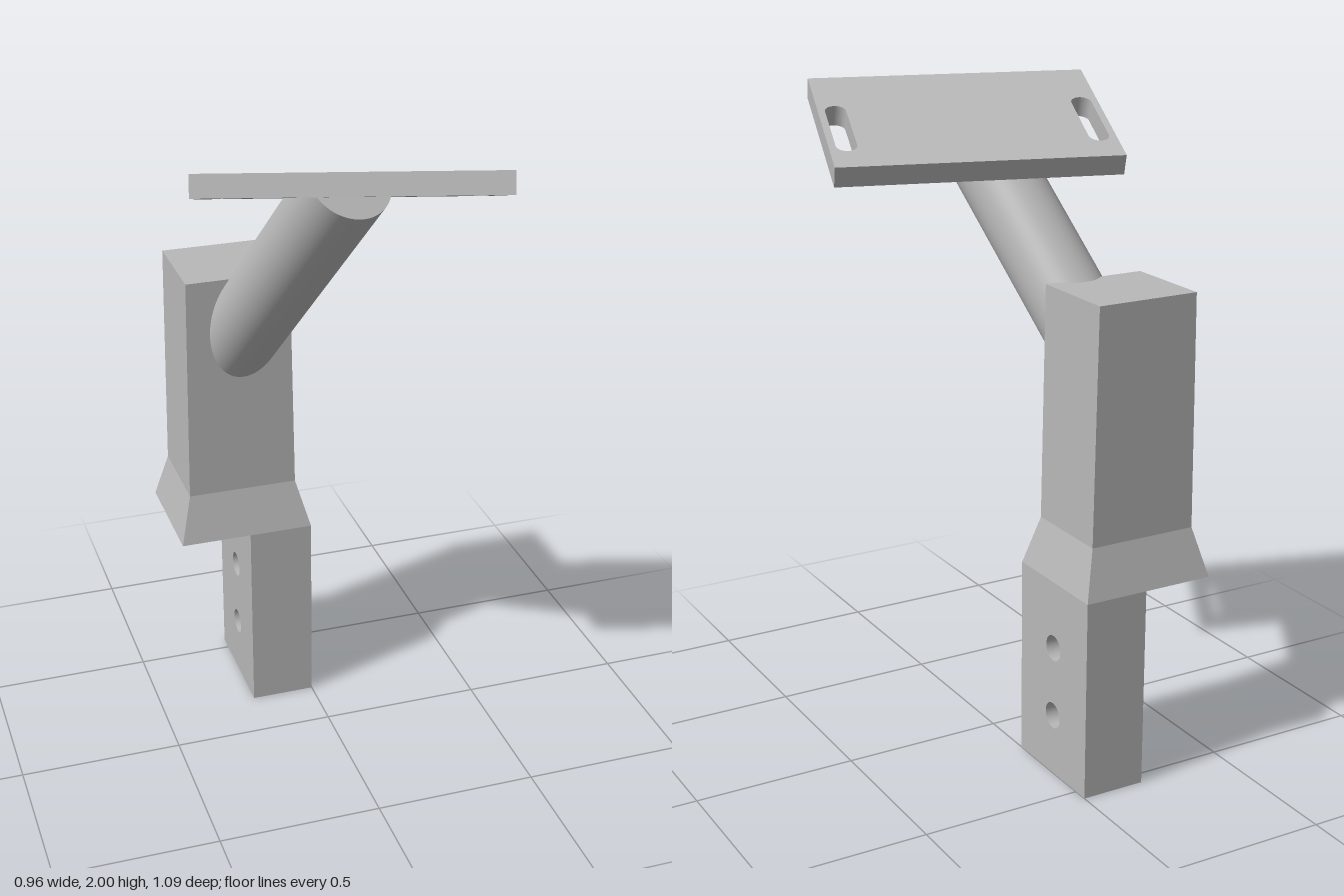
import * as THREE from 'three';

const steel = new THREE.MeshStandardMaterial({ color: 0xb8b8b8 });
steel.name = 'steel grey';

function part(name, geometry) {
  const mesh = new THREE.Mesh(geometry, steel);
  mesh.name = name;
  return mesh;
}

// Rectangular tab with two bolt holes drilled sideways
function mountingTab() {
  const shape = new THREE.Shape();
  shape.moveTo(0.177, 0).lineTo(0.547, 0).lineTo(0.547, 0.62).lineTo(0.177, 0.62).closePath();
  for (const y of [0.19, 0.41]) {
    shape.holes.push(new THREE.Path().absarc(0.362, y, 0.04, 0, Math.PI * 2, true));
  }
  const geo = new THREE.ExtrudeGeometry(shape, { depth: 0.2, bevelEnabled: false, curveSegments: 24 });
  return part('mountingTab', geo.rotateY(Math.PI / 2).translate(-0.2, 0, 0));
}

// Column with a flared foot: a box whose levels follow three rectangles
function column() {
  const levels = [ // y, xMin, xMax, zMin, zMax
    [0.62, -0.42, 0, -0.547, -0.177],
    [0.77, -0.382, -0.04, -0.505, -0.217],
    [1.48, -0.372, -0.05, -0.505, -0.217],
  ];
  const box = new THREE.BoxGeometry(1, 1, 1, 1, 2, 1);
  const p = box.attributes.position;
  for (let i = 0; i < p.count; i++) {
    const [y, x0, x1, z0, z1] = levels[Math.round((p.getY(i) + 0.5) * 2)];
    p.setXYZ(i, p.getX(i) < 0 ? x0 : x1, y, p.getZ(i) < 0 ? z0 : z1);
  }
  const geo = box.toNonIndexed();
  geo.computeVertexNormals();
  return part('column', geo);
}

// Tilted top plate with a slot near each end; its top face centre is the origin
const plateCentre = new THREE.Vector3(0.0025, 1.91, 0.17);
const plateTilt = new THREE.Euler(-THREE.MathUtils.degToRad(20), -THREE.MathUtils.degToRad(16), 0, 'YXZ');

function topPlate() {
  const w = 0.425, h = 0.263, t = 0.064, r = 0.031;
  const shape = new THREE.Shape();
  shape.moveTo(-w, -h).lineTo(w, -h).lineTo(w, h).lineTo(-w, h).closePath();
  for (const x of [-0.373, 0.373]) {
    const slot = new THREE.Path();
    slot.absarc(x, 0.143, r, 0, Math.PI, false);
    slot.absarc(x, -0.057, r, Math.PI, Math.PI * 2, false);
    slot.closePath();
    shape.holes.push(slot);
  }
  const geo = new THREE.ExtrudeGeometry(shape, { depth: t, bevelEnabled: false, curveSegments: 16 });
  geo.rotateX(-Math.PI / 2).translate(0, -t, 0);
  const mesh = part('topPlate', geo);
  mesh.position.copy(plateCentre);
  mesh.rotation.copy(plateTilt);
  return mesh;
}

// Slanted round arm from the column, trimmed so it ends inside the plate
function arm() {
  const start = new THREE.Vector3(-0.214, 1.175, -0.36);
  const end = new THREE.Vector3(-0.044, 1.947, 0.32);
  const axis = end.clone().sub(start);
  const length = axis.length();
  axis.normalize();
  const geo = new THREE.CylinderGeometry(0.12, 0.12, length, 64);
  geo.applyQuaternion(new THREE.Quaternion().setFromUnitVectors(new THREE.Vector3(0, 1, 0), axis));
  const mid = start.add(end).multiplyScalar(0.5);
  geo.translate(mid.x, mid.y, mid.z);

  const normal = new THREE.Vector3(0, 1, 0).applyEuler(plateTilt);
  const p = geo.attributes.position;
  const v = new THREE.Vector3();
  for (let i = 0; i < p.count; i++) {
    v.fromBufferAttribute(p, i);
    const over = v.clone().sub(plateCentre).dot(normal) + 0.02;
    if (over > 0) v.addScaledVector(axis, -over / axis.dot(normal));
    p.setXYZ(i, v.x, v.y, v.z);
  }
  return part('arm', geo);
}

export function createModel() {
  const group = new THREE.Group();
  group.name = 'angledBracket';
  group.add(mountingTab(), column(), arm(), topPlate());
  return group;
}
